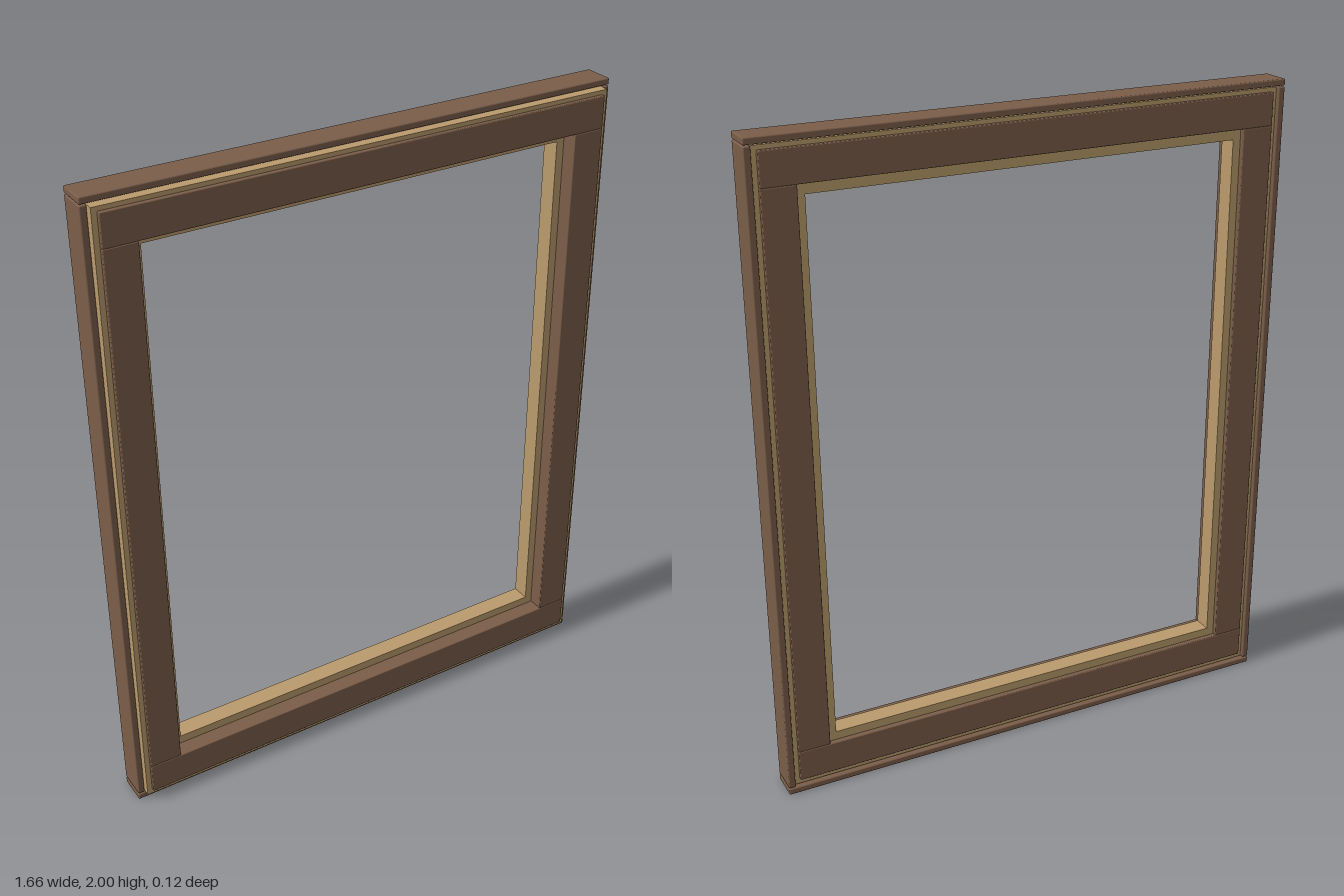
import * as THREE from 'three';
import { RoundedBoxGeometry } from 'three/addons/geometries/RoundedBoxGeometry.js';

const brown = new THREE.MeshStandardMaterial({ color: 0x7a5d49 });
brown.name = 'brownWood';
const tan = new THREE.MeshStandardMaterial({ color: 0xba9b6c });
tan.name = 'lightWood';

// One board given by its limits, with slightly eased edges
function board(name, material, x0, x1, y0, y1, z0, z1, ease) {
  const size = [x1 - x0, y1 - y0, z1 - z0];
  const geometry = ease
    ? new RoundedBoxGeometry(...size, 2, ease)
    : new THREE.BoxGeometry(...size);
  const mesh = new THREE.Mesh(geometry, material);
  mesh.name = name;
  mesh.position.set((x0 + x1) / 2, (y0 + y1) / 2, (z0 + z1) / 2);
  return mesh;
}

// Four boards around an opening: full-width rails, stiles fitted between them
function ring(name, material, { x, y0, y1, stile, rail, z0, z1, gap = 0, ease = 0 }) {
  const group = new THREE.Group();
  group.name = name;
  group.add(board('bottomRail', material, -x, x, y0, y0 + rail, z0, z1, ease));
  group.add(board('topRail', material, -x, x, y1 - rail, y1, z0, z1, ease));
  const low = y0 + rail + gap, high = y1 - rail - gap;
  group.add(board('leftStile', material, x - stile, x, low, high, z0, z1, ease));
  group.add(board('rightStile', material, -x, -x + stile, low, high, z0, z1, ease));
  return group;
}

export function createModel() {
  const model = new THREE.Group();
  model.name = 'windowFrame';

  // Thin surround boards
  model.add(ring('outerFrame', brown, {
    x: 0.828, y0: 0, y1: 2, stile: 0.021, rail: 0.02, gap: 0.003,
    z0: -0.0625, z1: 0.031, ease: 0.004,
  }));

  // Light core, seen as a lip around the facings and as the inner ledge
  model.add(ring('coreLip', tan, {
    x: 0.806, y0: 0.024, y1: 1.976, stile: 0.05, rail: 0.05, z0: -0.05, z1: 0.05,
  }));
  model.add(ring('innerCore', tan, {
    x: 0.77, y0: 0.06, y1: 1.94, stile: 0.105, rail: 0.108, z0: -0.046, z1: 0.012,
  }));

  // Wide front and back facings
  const facing = { x: 0.79, y0: 0.042, y1: 1.963, stile: 0.1, rail: 0.099, ease: 0.003 };
  model.add(ring('frontFacing', brown, { ...facing, z0: 0.01, z1: 0.0625 }));
  model.add(ring('backFacing', brown, { ...facing, z0: -0.0625, z1: -0.044 }));

  return model;
}
